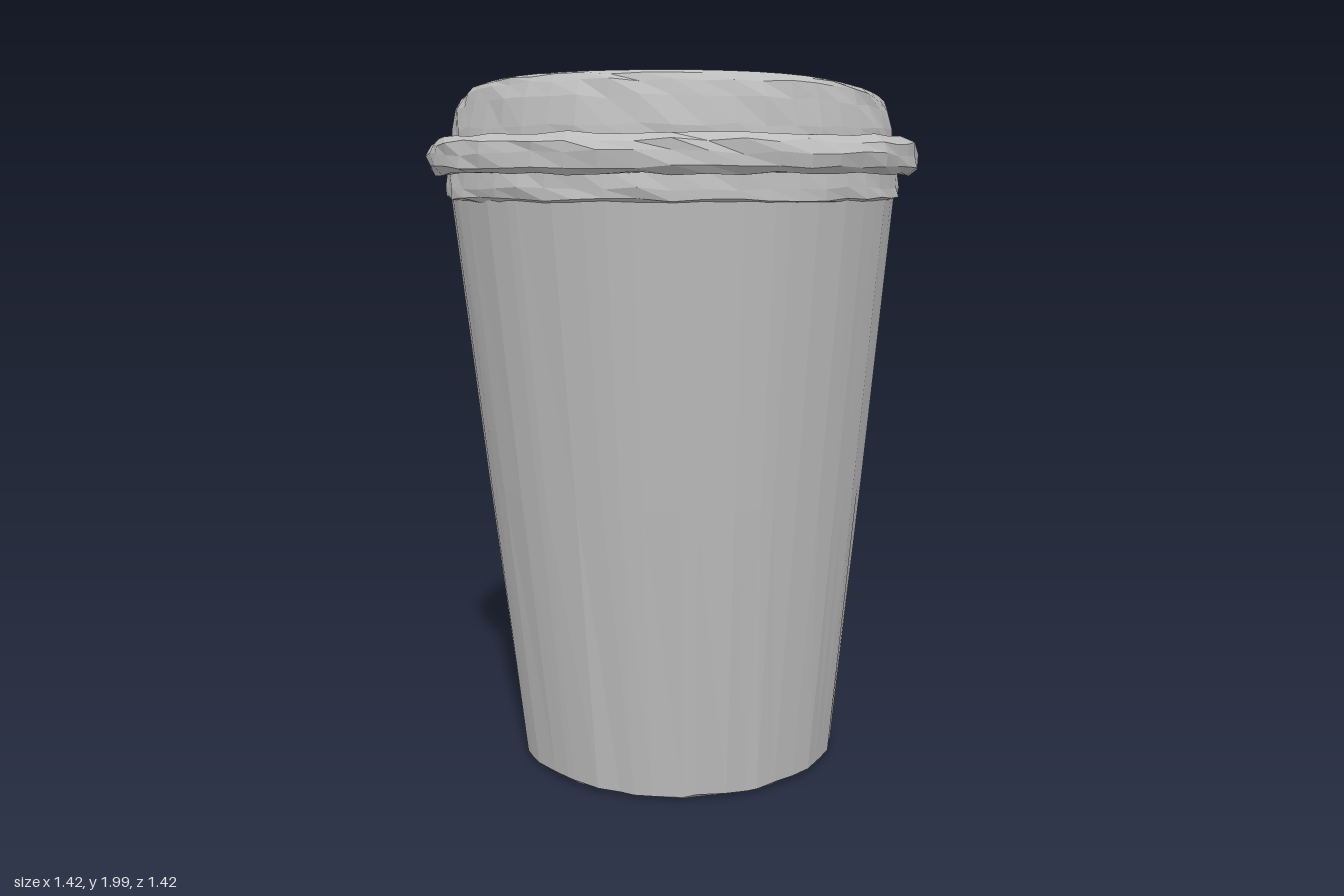
import * as THREE from 'three';

const SEGS = 48;

// Small seeded noise in -1..1
function noise(a, b) {
  const s = Math.sin(a * 127.1 + b * 311.7 + 4.3) * 43758.5453;
  return (s - Math.floor(s)) * 2 - 1;
}

// The lid's crown sags a little across its middle
function sag(geo) {
  const p = geo.attributes.position;
  for (let i = 0; i < p.count; i++) {
    const y = p.getY(i);
    const lift = Math.max(0, (y - 1.86) / 0.14);
    const dz = (p.getZ(i) - 0.06) / 0.3;
    p.setY(i, Math.min(2, y - 0.036 * lift * Math.exp(-dz * dz)));
  }
}

function faceted(geo) {
  const flat = geo.index ? geo.toNonIndexed() : geo;
  flat.computeVertexNormals();
  return flat;
}

// Hand-made surface of revolution; profile rows are [radius, height, wobble]
function turned(profile, seed, twist = 0) {
  const geo = new THREE.LatheGeometry(profile.map(([r, y]) => new THREE.Vector2(r, y)), SEGS);
  const p = geo.attributes.position;
  const n = profile.length;
  for (let i = 0; i <= SEGS; i++) {
    const k = i % SEGS;
    for (let j = 0; j < n; j++) {
      const [r, y, w = 0] = profile[j];
      const a = (k + twist * noise(k, seed)) / SEGS * Math.PI * 2;
      const rr = r + w * noise(k + seed, j);
      p.setXYZ(i * n + j, rr * Math.sin(a), Math.max(0, y + w * 0.8 * noise(k, j + seed)), rr * Math.cos(a));
    }
  }
  return geo;
}

function circlePoints(r, count) {
  return Array.from({ length: count }, (_, i) => {
    const a = i / count * Math.PI * 2;
    return new THREE.Vector2(r * Math.sin(a), -r * Math.cos(a));
  });
}

export function createModel() {
  const group = new THREE.Group();
  const grey = new THREE.MeshStandardMaterial({ color: 0xbdbdbd, flatShading: true, side: THREE.DoubleSide });
  grey.name = 'matte grey';
  const add = (name, geo) => {
    const mesh = new THREE.Mesh(faceted(geo), grey);
    mesh.name = name;
    group.add(mesh);
    return mesh;
  };

  // Tapered cup with a recessed base
  const cup = turned([
    [0, 0.075], [0.395, 0.075], [0.4, 0.012, 0.004], [0.45, 0.008, 0.005],
    [0.468, 0.016, 0.005], [0.557, 0.85, 0.002], [0.645, 1.7, 0.002],
  ], 3, 0.38);
  const cp = cup.attributes.position;
  for (let i = 0; i < cp.count; i++) cp.setX(i, cp.getX(i) + 0.018 * (1 - cp.getY(i) / 1.7));
  add('cup', cup);

  // Skirt of the lid gripping the cup
  add('lidSkirt', turned([
    [0.636, 1.664, 0.004], [0.655, 1.672, 0.006], [0.655, 1.7, 0.006], [0.648, 1.75, 0.003],
  ], 11));

  // Bulging snap ring
  add('lidRing', turned([
    [0.645, 1.742, 0.003], [0.685, 1.738, 0.007], [0.706, 1.755, 0.008], [0.709, 1.79, 0.008],
    [0.699, 1.82, 0.008], [0.672, 1.84, 0.006], [0.642, 1.835, 0.004], [0.628, 1.825],
  ], 23));

  // Sloping wall of the lid with a rounded top edge
  const wall = turned([
    [0.638, 1.82], [0.634, 1.86, 0.006], [0.618, 1.93, 0.007], [0.606, 1.972, 0.006],
    [0.592, 1.99, 0.004], [0.572, 1.998],
  ], 37);
  sag(wall);
  add('lidWall', wall);

  // Flat top ring pierced by the sip opening and the vent
  const ring = new THREE.Shape(circlePoints(0.572, SEGS));
  ring.holes.push(new THREE.Path(circlePoints(0.435, SEGS)));
  const sip = [[-0.088, 0.447], [0.08, 0.447], [0.097, 0.54], [0.085, 0.558], [-0.095, 0.558], [-0.105, 0.545]];
  ring.holes.push(new THREE.Path(sip.map(([x, z]) => new THREE.Vector2(x, -z))));
  ring.holes.push(new THREE.Path(circlePoints(0.024, 8).map(v => v.add(new THREE.Vector2(0, 0.51)))));
  const top = new THREE.ExtrudeGeometry(ring, { depth: 0.07, bevelEnabled: false });
  top.rotateX(-Math.PI / 2);
  top.translate(0, 1.928, 0);
  sag(top);
  add('lidTop', top);

  // Sunken floors beneath the two openings
  const sipFloor = add('sipFloor', new THREE.PlaneGeometry(0.23, 0.14));
  sipFloor.rotation.set(-Math.PI / 2 + 0.25, 0.3, 0);
  sipFloor.position.set(0, 1.935, 0.503);
  const ventFloor = add('ventFloor', new THREE.CircleGeometry(0.04, 8));
  ventFloor.rotation.x = -Math.PI / 2 + 0.5;
  ventFloor.position.set(0, 1.94, -0.51);

  // Round dish in the middle of the lid
  const dish = turned([
    [0.435, 1.998], [0.418, 1.992, 0.003], [0.405, 1.965, 0.005], [0.388, 1.925, 0.006],
    [0.365, 1.9, 0.005], [0.345, 1.89, 0.002], [0, 1.888],
  ], 53);
  sag(dish);
  add('lidDish', dish);

  return group;
}
